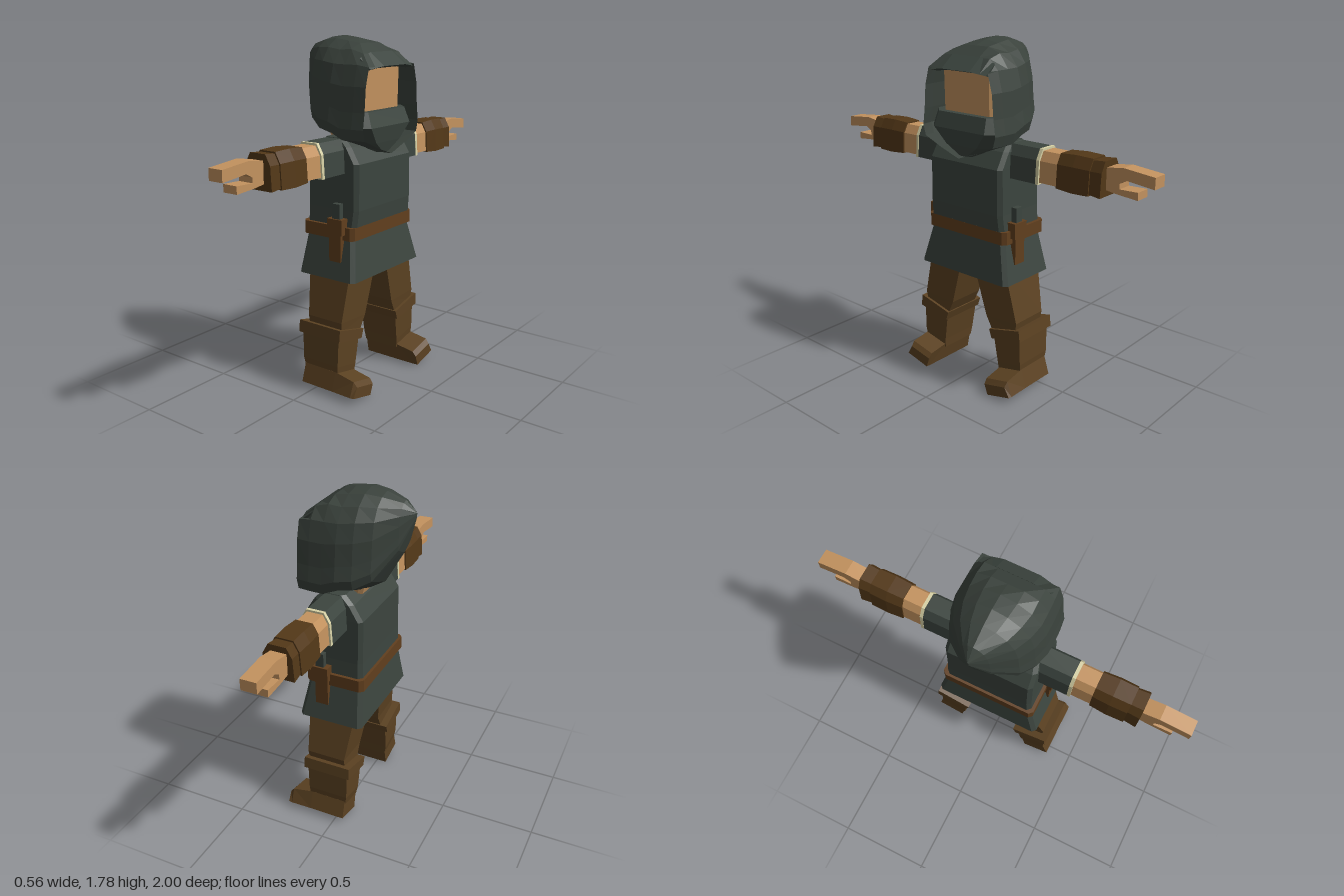
import * as THREE from 'three';

const mat = (name, color, double) => {
  const m = new THREE.MeshStandardMaterial({ color });
  m.name = name;
  if (double) m.side = THREE.DoubleSide;
  return m;
};

// Flat-shaded skin over a series of equal-length loops; turned outward by its signed volume.
function loft(loops, capStart = true, capEnd = true) {
  const tris = [], n = loops[0].length;
  const V = loops.map(l => l.map(p => new THREE.Vector3(...p)));
  for (let i = 0; i < V.length - 1; i++) {
    for (let j = 0; j < n; j++) {
      const k = (j + 1) % n, a = V[i][j], b = V[i][k], c = V[i + 1][k], d = V[i + 1][j];
      tris.push([a, b, c], [a, c, d]);
    }
  }
  const cap = (loop, flip) => {
    const mid = loop.reduce((s, p) => s.add(p), new THREE.Vector3()).divideScalar(n);
    loop.forEach((p, j) => {
      const q = loop[(j + 1) % n];
      tris.push(flip ? [mid, q, p] : [mid, p, q]);
    });
  };
  if (capStart) cap(V[0], true);
  if (capEnd) cap(V[V.length - 1], false);
  const origin = V[0][0];
  let vol = 0;
  for (const [a, b, c] of tris) {
    vol += a.clone().sub(origin).dot(b.clone().sub(origin).cross(c.clone().sub(origin)));
  }
  const pts = tris.flatMap(([a, b, c]) => (vol < 0 ? [a, c, b] : [a, b, c]));
  const g = new THREE.BufferGeometry().setFromPoints(pts);
  g.computeVertexNormals();
  return g;
}

// Horizontal rectangle with cut corners
const ring = (y, x0, x1, z0, z1, c = 0.02) => [
  [x0 + c, y, z0], [x1 - c, y, z0], [x1, y, z0 + c], [x1, y, z1 - c],
  [x1 - c, y, z1], [x0 + c, y, z1], [x0, y, z1 - c], [x0, y, z0 + c]];

// Upright six-sided arm section at z, scaled by k
const HEX = [[-0.08, -0.08], [0.08, -0.08], [0.073, 0.035], [0.045, 0.085], [-0.045, 0.085], [-0.073, 0.035]];
const hex = (z, k) => HEX.map(([x, y]) => [0.047 + x * k, 1.212 + y * k, z]);

// Leg section: four corners whose inner and outer sides have their own heights
const legRing = (x0, x1, zi, yi, zo, yo) => [[x0, yi, zi], [x1, yi, zi], [x1, yo, zo], [x0, yo, zo]];

export function createModel() {
  const group = new THREE.Group();
  const cloth = mat('dark cloth', 0x3c453f);
  const hoodCloth = mat('hood cloth', 0x3a423c, true);
  const skin = mat('skin', 0xc4935f);
  const brown = mat('brown trousers and boots', 0x5c4222);
  const leather = mat('belt leather', 0x613f1e);
  const bracerLeather = mat('bracer leather', 0x533818);
  const cream = mat('cream cuff', 0xd8d2a6);
  const add = (name, geo, m) => {
    const mesh = new THREE.Mesh(geo, m);
    mesh.name = name;
    group.add(mesh);
    return mesh;
  };
  const box = (name, m, x0, x1, y0, y1, z0, z1) =>
    add(name, new THREE.BoxGeometry(x1 - x0, y1 - y0, Math.abs(z1 - z0)), m)
      .position.set((x0 + x1) / 2, (y0 + y1) / 2, (z0 + z1) / 2);

  // Tunic with flared skirt, and belt
  add('tunic', loft([
    [0.6, -0.13, 0.22, 0.295], [0.8, -0.112, 0.185, 0.248], [0.95, -0.11, 0.2, 0.24],
    [1.18, -0.11, 0.2, 0.238], [1.26, -0.06, 0.15, 0.235], [1.3, -0.01, 0.1, 0.22],
  ].map(([y, a, b, w]) => ring(y, a, b, -w, w))), cloth);
  add('belt', loft([0.802, 0.868].map(y => ring(y, -0.125, 0.192, -0.262, 0.262))), leather);

  // Hood: half outline (z, y) mirrored, shrinking to a point at the back
  const half = [[0, 1.78], [0.08, 1.765], [0.15, 1.72], [0.2, 1.65], [0.226, 1.55], [0.236, 1.43],
    [0.248, 1.35], [0.232, 1.295], [0.12, 1.25], [0, 1.21]];
  const outline = [...half, ...half.slice(1, -1).reverse().map(([z, y]) => [-z, y])];
  const back = [[-0.28, 0.02, 1.69, 1.66], [-0.225, 0.33, 1.74, 1.48], [-0.13, 0.74, 1.77, 1.31],
    [-0.05, 0.92, 1.78, 1.26], [0.03, 1, 1.77, 1.25]]
    .map(([x, s, top, low]) => outline.map(([z, y]) =>
      [x, low + (y - 1.21) / 0.57 * (top - low), z * s]));
  const front = [[0.1, 1.745, 1], [0.17, 1.7, 0.99], [0.235, 1.64, 0.96]]
    .map(([x, top, s]) => outline.map(([z, y]) => [x, Math.min(y, top), z * s]));
  add('hood', loft([...back, ...front], true, false), hoodCloth);
  // Brow edge sticking out over the opening
  add('hoodBrow', loft([
    [[0.17, 1.68, -0.18], [0.235, 1.63, -0.18], [0.2, 1.62, -0.17]],
    [[0.17, 1.705, -0.09], [0.25, 1.642, -0.09], [0.2, 1.63, -0.09]],
    [[0.17, 1.705, 0.09], [0.25, 1.642, 0.09], [0.2, 1.63, 0.09]],
    [[0.17, 1.68, 0.18], [0.235, 1.63, 0.18], [0.2, 1.62, 0.17]]]), cloth);

  // Head and the mask over the lower face
  add('head', loft([ring(1.26, -0.05, 0.13, -0.12, 0.12), ring(1.42, -0.1, 0.17, -0.165, 0.165),
    ring(1.64, -0.1, 0.175, -0.165, 0.165)]), skin);
  add('mask', loft([ring(1.215, 0.05, 0.2, -0.06, 0.06, 0.04), ring(1.27, 0.02, 0.215, -0.15, 0.15, 0.05),
    ring(1.35, 0, 0.232, -0.225, 0.225, 0.06), ring(1.425, 0, 0.205, -0.215, 0.215, 0.06)]), cloth);

  for (const [side, s] of [['left', 1], ['right', -1]]) {
    // Arm, from sleeve to bracer
    const tube = (name, m, ...secs) =>
      add(`${side}${name}`, loft(secs.map(([z, k]) => hex(z * s, k))), m);
    tube('Sleeve', cloth, [0.18, 1], [0.395, 1]);
    tube('Cuff', cream, [0.393, 1.02], [0.41, 1.02]);
    tube('Forearm', skin, [0.4, 0.9], [0.54, 0.9]);
    tube('Bracer', bracerLeather, [0.512, 0.98], [0.6, 1.05], [0.692, 1.02]);
    tube('BracerEnd', bracerLeather, [0.68, 0.92], [0.755, 1]);

    // Hand with fingers and a separate thumb
    const hand = new THREE.Shape([[0.74, 1.165], [0.81, 1.155], [0.92, 1.146], [0.92, 1.183], [0.825, 1.18],
      [0.825, 1.205], [0.86, 1.225], [1, 1.21], [1, 1.265], [0.84, 1.28], [0.74, 1.265]]
      .map(([z, y]) => new THREE.Vector2(z * s, y)));
    const handGeo = new THREE.ExtrudeGeometry(hand, { depth: 0.08, bevelEnabled: false });
    handGeo.rotateY(-Math.PI / 2).translate(0.08, 0, 0);
    add(`${side}Hand`, handGeo, skin);

    // Sheathed dagger at the belt
    box(`${side}Sheath`, leather, 0.06, 0.13, 0.69, 0.86, s * 0.24, s * 0.28);
    box(`${side}SheathMouth`, leather, 0.055, 0.145, 0.83, 0.91, s * 0.24, s * 0.29);
    box(`${side}Hilt`, cloth, 0.08, 0.125, 0.9, 0.985, s * 0.25, s * 0.28);

    // Leg leaning outward, tall boot with folded top, foot pointing forward
    const leg = (name, ...secs) => add(`${side}${name}`,
      loft(secs.map(r => legRing(...r).map(([x, y, z]) => [x, y, z * s]))), brown);
    leg('Thigh', [-0.085, 0.175, 0.04, 0.66, 0.25, 0.68], [-0.045, 0.165, 0.12, 0.38, 0.318, 0.39],
      [-0.045, 0.16, 0.16, 0.3, 0.31, 0.34]);
    leg('BootTop', [-0.085, 0.175, 0.163, 0.265, 0.35, 0.3], [-0.085, 0.175, 0.147, 0.313, 0.343, 0.362]);
    leg('Boot', [-0.055, 0.15, 0.195, 0.08, 0.334, 0.11], [-0.065, 0.155, 0.19, 0.13, 0.338, 0.16],
      [-0.07, 0.16, 0.165, 0.29, 0.335, 0.32]);
    const foot = (x, zi, zo, h) => [[x, 0, zi + 0.02], [x, 0.035, zo + 0.03],
      [x, 0.03 + h, zo], [x, h, zi]].map(([a, y, z]) => [a, y, z * s]);
    add(`${side}Foot`, loft([foot(-0.055, 0.198, 0.336, 0.1), foot(0.14, 0.198, 0.336, 0.1),
      foot(0.255, 0.2, 0.338, 0.08), foot(0.275, 0.202, 0.335, 0.055)]), brown);
  }
  return group;
}
